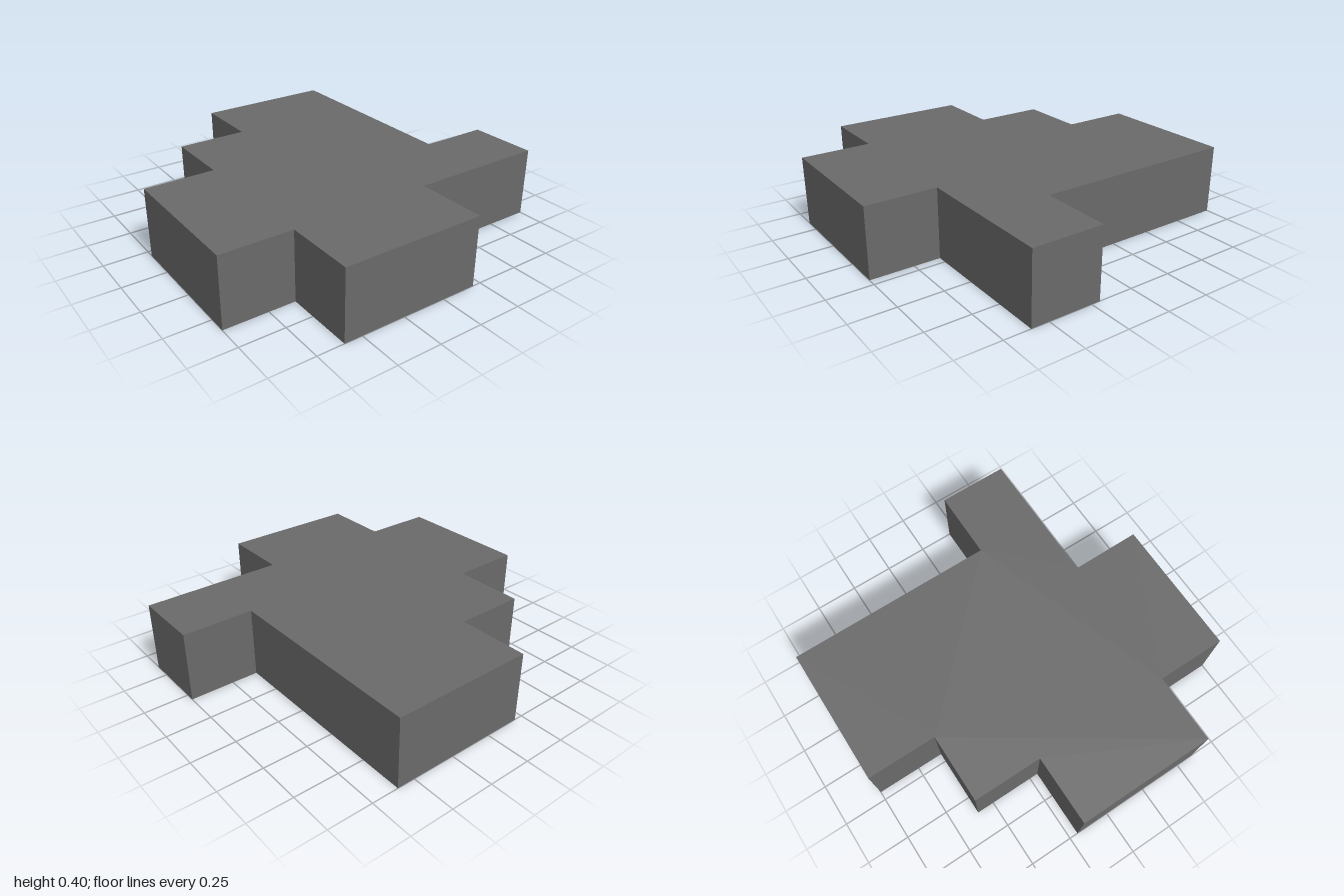
import * as THREE from 'three';

export function createModel() {
  const model = new THREE.Group();
  model.name = 'steppedSlab';

  const grey = new THREE.MeshStandardMaterial({ color: 0x6a6a6a });
  grey.name = 'grey';

  // Stepped plan outline as [x, z] corners
  const outline = [
    [-0.2, -1], [0.6, -1], [0.6, 0.2], [1, 0.2], [1, 0.6], [0.2, 0.6], [0.2, 1],
    [-0.6, 1], [-0.6, 0.6], [-1, 0.6], [-1, -0.2], [-0.6, -0.2], [-0.6, -0.6], [-0.2, -0.6],
  ];
  const plan = new THREE.Shape(outline.map(([x, z]) => new THREE.Vector2(x, -z)));

  // Extrude the plan and lay it flat on the ground
  const geometry = new THREE.ExtrudeGeometry(plan, { depth: 0.4, bevelEnabled: false });
  geometry.rotateX(-Math.PI / 2);

  const slab = new THREE.Mesh(geometry, grey);
  slab.name = 'slab';
  model.add(slab);
  return model;
}
